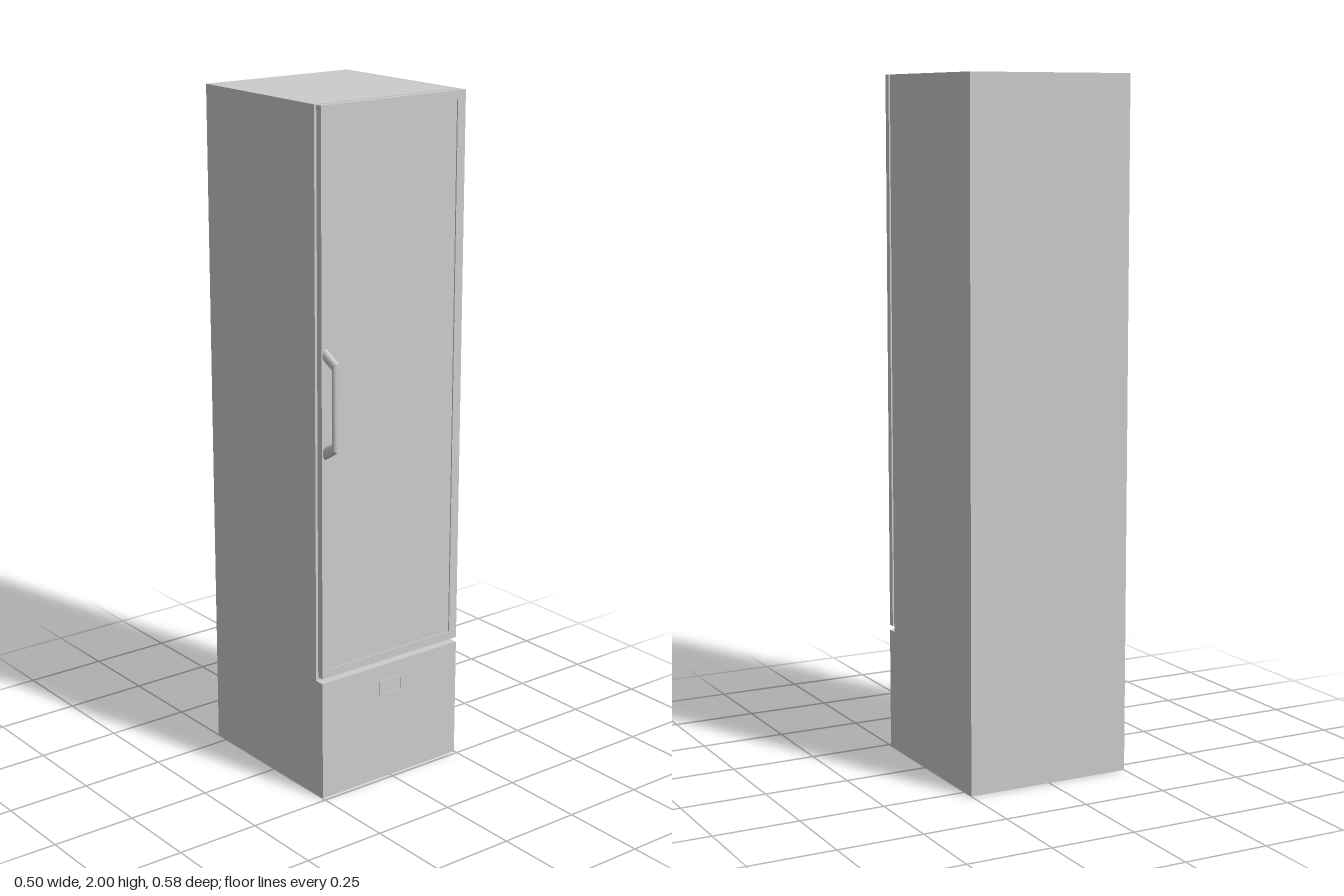
import * as THREE from 'three';

const grey = new THREE.MeshStandardMaterial({ color: 0xcccccc });

function add(group, name, geometry) {
  const mesh = new THREE.Mesh(geometry, grey);
  mesh.name = name;
  group.add(mesh);
  return mesh;
}

// Box given by its minimum and maximum corners
function boxBetween([x0, y0, z0], [x1, y1, z1]) {
  return new THREE.BoxGeometry(x1 - x0, y1 - y0, z1 - z0)
    .translate((x0 + x1) / 2, (y0 + y1) / 2, (z0 + z1) / 2);
}

// Rectangular frame, extruded along z from z0 to z1
function frame([x0, y0, x1, y1], [a0, b0, a1, b1], z0, z1) {
  const corners = (l, b, r, t) => [[l, b], [r, b], [r, t], [l, t]].map(p => new THREE.Vector2(...p));
  const shape = new THREE.Shape(corners(x0, y0, x1, y1));
  shape.holes.push(new THREE.Path(corners(a0, b0, a1, b1).reverse()));
  return new THREE.ExtrudeGeometry(shape, { depth: z1 - z0, bevelEnabled: false }).translate(0, 0, z0);
}

// Bent bar with an oval section, mitred at its two corners
function handleGeometry(x, halfWidth) {
  const sides = 16;
  // centre z, centre y, and the mitre offset (dz, dy) towards the outside
  const stations = [
    [0.238, 1.325, 0, 0.019],
    [0.282, 1.300, 0.009, 0.012],
    [0.282, 1.072, 0.009, -0.012],
    [0.238, 1.047, 0, -0.019],
  ];
  const positions = [];
  const point = ([z, y, dz, dy], i) => {
    const a = (i / sides) * Math.PI * 2;
    return [x + halfWidth * Math.cos(a), y + dy * Math.sin(a), z + dz * Math.sin(a)];
  };
  const index = [];
  // each straight run has its own rings, so the corners stay crisp
  for (let s = 0; s < 3; s++) {
    const base = positions.length / 3;
    for (let i = 0; i <= sides; i++) positions.push(...point(stations[s], i), ...point(stations[s + 1], i));
    for (let i = 0; i < sides; i++) {
      const a = base + 2 * i;
      index.push(a, a + 1, a + 2, a + 1, a + 3, a + 2);
    }
  }
  const geometry = new THREE.BufferGeometry();
  geometry.setAttribute('position', new THREE.Float32BufferAttribute(positions, 3));
  geometry.setIndex(index);
  geometry.computeVertexNormals();
  return geometry;
}

export function createModel() {
  const model = new THREE.Group();
  model.name = 'uprightFridge';

  // Cabinet with its lower front standing forward, drawn in side profile
  const side = new THREE.Shape([
    [0.292, 0], [0.292, 2], [-0.208, 2], [-0.208, 0.36], [-0.238, 0.36], [-0.238, 0],
  ].map(p => new THREE.Vector2(...p)));
  add(model, 'cabinet', new THREE.ExtrudeGeometry(side, { depth: 0.5, bevelEnabled: false })
    .translate(0, 0, -0.25).rotateY(Math.PI / 2));

  // Door: seal, frame and slightly recessed pane
  const door = new THREE.Group();
  door.name = 'door';
  model.add(door);
  add(door, 'doorSeal', boxBetween([-0.24, 0.385, 0.208], [0.24, 1.99, 0.219]));
  add(door, 'doorFrame', frame([-0.25, 0.375, 0.25, 2], [-0.222, 0.40, 0.222, 1.975], 0.218, 0.238));
  add(door, 'doorPane', boxBetween([-0.223, 0.399, 0.2185], [0.223, 1.976, 0.234]));

  const handle = add(door, 'doorHandle', handleGeometry(-0.236, 0.0105));
  handle.material = grey.clone();
  handle.material.side = THREE.DoubleSide;

  // Small framed plate on the lower front
  const plate = new THREE.Group();
  plate.name = 'controlPlate';
  model.add(plate);
  add(plate, 'plateRim', frame([-0.042, 0.262, 0.042, 0.311], [-0.036, 0.268, 0.036, 0.305], 0.237, 0.241));
  add(plate, 'plateFace', boxBetween([-0.037, 0.267, 0.237], [0.037, 0.306, 0.239]));

  return model;
}
